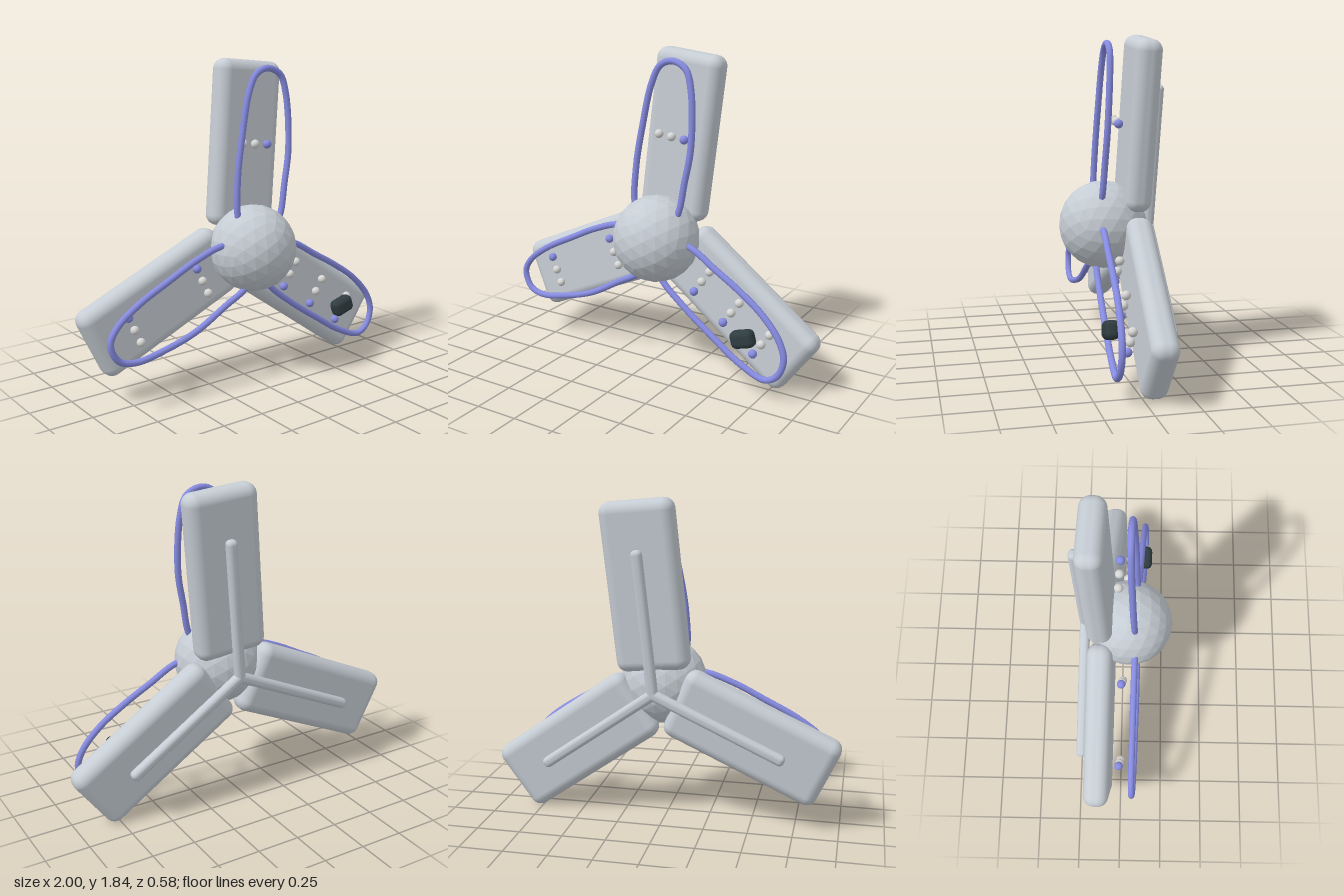
import * as THREE from 'three';
import { RoundedBoxGeometry } from 'three/addons/geometries/RoundedBoxGeometry.js';

const paint = (name, color) => {
  const m = new THREE.MeshStandardMaterial({ color });
  m.name = name;
  return m;
};

export function createModel() {
  const grey = paint('hull grey', 0xc5ccd3);
  const violet = paint('violet', 0x868be0);
  const silver = paint('bead silver', 0xd6d6d5);
  const dark = paint('dark slate', 0x2f3c40);

  const add = (parent, name, geometry, material, x = 0, y = 0, z = 0) => {
    const mesh = new THREE.Mesh(geometry, material);
    mesh.name = name;
    mesh.position.set(x, y, z);
    parent.add(mesh);
    return mesh;
  };

  // everything turns about the hub, which leans back slightly
  const model = new THREE.Group();
  model.name = 'threeBladeRotor';
  const rotor = new THREE.Group();
  rotor.name = 'rotor';
  rotor.position.set(0.035, 0.778, 0.04);
  rotor.rotation.set(-0.046, -0.0365, 0);
  model.add(rotor);

  // faceted hub: unshared vertices give flat facets
  const hub = new THREE.IcosahedronGeometry(0.25, 3);
  hub.computeVertexNormals();
  add(rotor, 'hub', hub, grey, 0, 0.004, 0);

  const slab = new RoundedBoxGeometry(0.42, 0.95, 0.148, 5, 0.062);
  const rib = new RoundedBoxGeometry(0.062, 0.84, 0.06, 5, 0.026);
  const bead = new THREE.SphereGeometry(0.025, 20, 14);

  // each blade: turn, bead row distances, and wire outline as [across, outward]
  const blades = [
    {
      name: 'topBlade', turn: -5.7, rows: [0.595],
      wire: [[-0.08, 0.08], [-0.142, 0.18], [-0.161, 0.4], [-0.146, 0.65], [-0.118, 0.876], [-0.075, 0.985],
        [0, 1.022], [0.088, 0.993], [0.137, 0.885], [0.178, 0.584], [0.165, 0.382], [0.145, 0.19], [0.08, 0.08]],
    },
    {
      name: 'rightBlade', turn: 114.3, rows: [0.355, 0.837],
      wire: [[-0.08, 0.08], [-0.152, 0.157], [-0.172, 0.331], [-0.19, 0.559], [-0.165, 0.766], [-0.118, 0.943],
        [-0.052, 1.018], [0.053, 1.018], [0.111, 0.949], [0.15, 0.789], [0.162, 0.566], [0.167, 0.364],
        [0.146, 0.189], [0.08, 0.08]],
    },
    {
      name: 'leftBlade', turn: -125.7, rows: [0.355, 0.597, 0.837],
      wire: [[-0.08, 0.08], [-0.15, 0.2], [-0.17, 0.39], [-0.186, 0.565], [-0.186, 0.751], [-0.148, 0.909],
        [-0.085, 0.994], [0.011, 1.024], [0.09, 0.989], [0.136, 0.828], [0.147, 0.626], [0.151, 0.382],
        [0.134, 0.184], [0.08, 0.08]],
    },
  ];

  for (const { name, turn, rows, wire } of blades) {
    const blade = new THREE.Group();
    blade.name = name;
    blade.rotation.z = THREE.MathUtils.degToRad(turn);
    rotor.add(blade);

    add(blade, 'slab', slab, grey, 0, 0.592, -0.16);
    add(blade, 'backRib', rib, grey, 0, 0.39, -0.264);

    // wire loop standing off the front of the slab, closed inside the hub
    const path = new THREE.CatmullRomCurve3(wire.map(([x, y]) => new THREE.Vector3(x, y, 0.043)), true);
    add(blade, 'wireLoop', new THREE.TubeGeometry(path, 120, 0.0185, 12, true), violet);

    // rows of three beads, the last one violet
    for (const r of rows) {
      for (const i of [-1, 0, 1]) {
        add(blade, 'bead', bead, i === 1 ? violet : silver, i * 0.083, r, -0.035);
      }
    }
  }

  // small dark block clipped on the left blade
  const block = add(rotor, 'darkBlock', new RoundedBoxGeometry(0.14, 0.1, 0.08, 4, 0.032), dark, 0.613, -0.442, 0.055);
  block.rotation.z = 0.3;

  return model;
}
